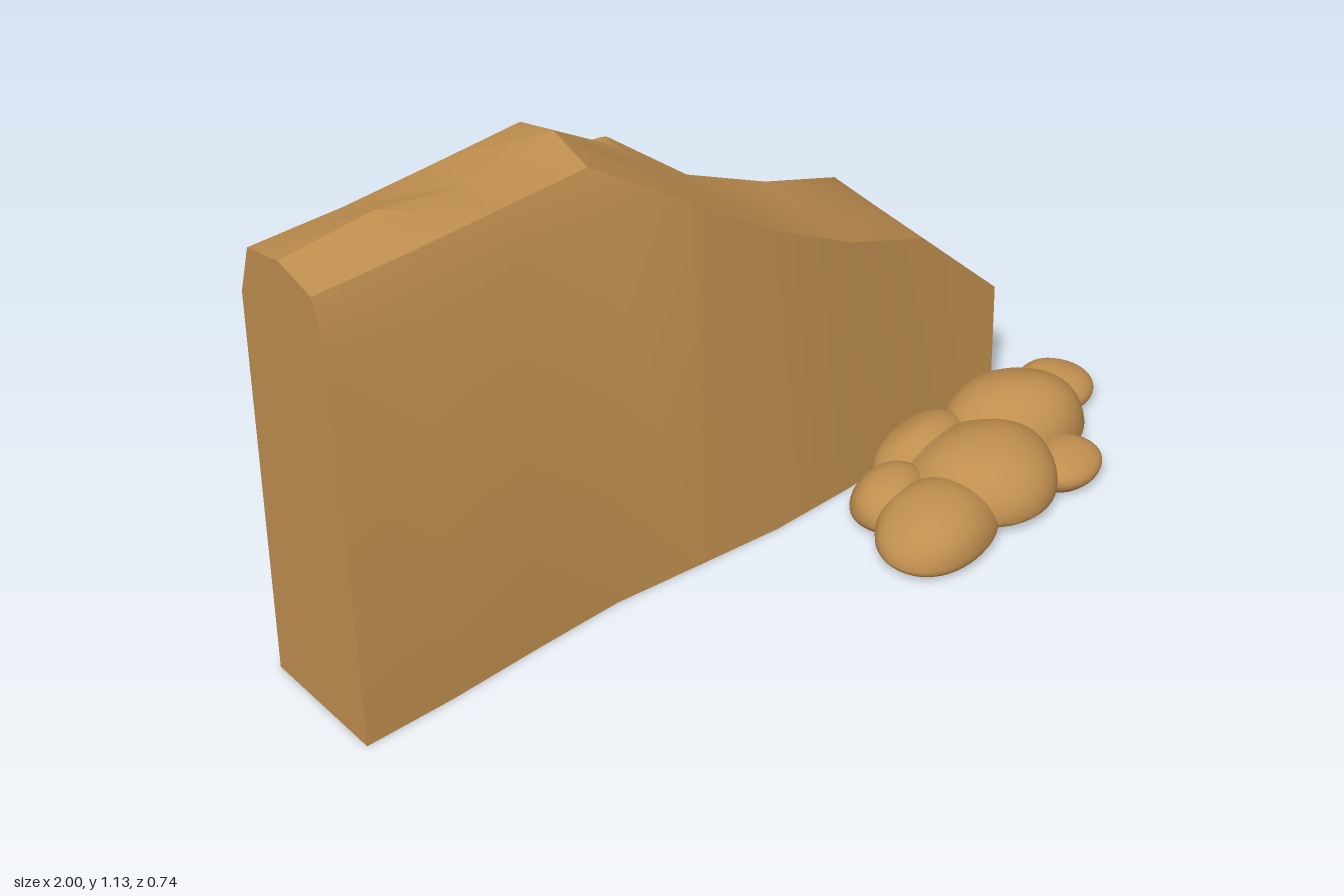
import * as THREE from 'three';
import { mergeVertices, toCreasedNormals } from 'three/addons/utils/BufferGeometryUtils.js';

const sandstone = new THREE.MeshStandardMaterial({ color: 0xc08f4f });

// One wall station per row: x, back z, front z, ridge y, back top y, front top y, chamfer (1 = bevelled top)
const stations = [
  [-1.0, -0.34, -0.02, 1.115, 1.09, 1.09, 1],
  [-0.78, -0.34, -0.024, 1.135, 1.09, 1.09, 1],
  [-0.55, -0.358, -0.038, 1.09, 1.088, 1.088, 1],
  [-0.33, -0.375, -0.048, 1.12, 1.088, 1.088, 1],
  [-0.115, -0.357, -0.033, 0.958, 0.956, 0.945, 1],
  [-0.1, -0.355, -0.032, 0.945, 0.953, 0.932, 0],
  [0.1, -0.337, -0.019, 0.787, 0.785, 0.79, 0],
  [0.32, -0.335, -0.027, 0.67, 0.677, 0.664, 0],
  [0.55, -0.363, -0.052, 0.572, 0.58, 0.565, 0],
  [0.78, -0.372, -0.052, 0.335, 0.335, 0.335, 0],
];

// Cross-section from the back foot, over the top, to the front foot
function section([x, back, front, ridge, topB, topF, chamfer]) {
  const lean = (y) => 0.014 * y; // faces lean inwards slightly
  const shoulderB = Math.min(0.97, topB);
  const shoulderF = Math.min(0.97, topF);
  const b = back + lean(shoulderB), f = front - lean(shoulderF);
  const bevel = chamfer * 0.038;
  return [
    [x, 0.003, back], [x, shoulderB, b], [x, topB, b + bevel],
    [x, ridge, (b + f) / 2], [x, topF, f - bevel],
    [x, shoulderF, f], [x, 0.003, front],
  ].map((p) => new THREE.Vector3(...p));
}

function wallGeometry() {
  const rings = stations.map(section);
  const n = rings[0].length;
  const pos = [];
  const tri = (a, b, c) => {
    const area = new THREE.Vector3().subVectors(b, a).cross(new THREE.Vector3().subVectors(c, a));
    if (area.length() > 1e-8) for (const p of [a, b, c]) pos.push(p.x, p.y, p.z);
  };
  for (let i = 0; i < rings.length - 1; i++) {
    for (let j = 0; j < n; j++) {
      const k = (j + 1) % n;
      const a = rings[i][j], b = rings[i][k], c = rings[i + 1][k], d = rings[i + 1][j];
      tri(a, b, c);
      tri(a, c, d);
    }
  }
  // end caps
  const first = rings[0], last = rings[rings.length - 1];
  for (let j = 1; j < n - 1; j++) {
    tri(first[0], first[j + 1], first[j]);
    tri(last[0], last[j], last[j + 1]);
  }
  const g = new THREE.BufferGeometry();
  g.setAttribute('position', new THREE.Float32BufferAttribute(pos, 3));
  return toCreasedNormals(g, 0.42);
}

// Rounded, slightly lumpy stone with a flat underside
function boulderGeometry(rx, rz, height, seed) {
  const floor = 0.01, centre = 0.04;
  let g = new THREE.IcosahedronGeometry(1, 7);
  g.deleteAttribute('uv');
  g.deleteAttribute('normal');
  g = mergeVertices(g, 1e-4);
  const p = g.attributes.position, v = new THREE.Vector3();
  for (let i = 0; i < p.count; i++) {
    v.fromBufferAttribute(p, i);
    const lump = 1 + 0.045 * Math.sin(3 * v.x + seed) * Math.cos(2.6 * v.z + seed * 1.7)
      + 0.025 * Math.sin(4 * v.y + 3 * v.z + seed * 2.3);
    const y = centre + v.y * lump * (v.y > 0 ? height - centre : 0.05);
    p.setXYZ(i, v.x * lump * rx, Math.max(floor, y), v.z * lump * rz);
  }
  g.computeVertexNormals();
  return g;
}

// x, z, half width, half depth, height
const boulders = [
  [0.33, 0.245, 0.15, 0.125, 0.14],
  [0.325, 0.11, 0.1, 0.095, 0.125],
  [0.535, 0.175, 0.18, 0.165, 0.165],
  [0.725, 0.08, 0.18, 0.14, 0.177],
  [0.905, 0.025, 0.092, 0.09, 0.09],
  [0.72, 0.25, 0.092, 0.083, 0.09],
  [0.5, 0.03, 0.14, 0.09, 0.14],
];

export function createModel() {
  const model = new THREE.Group();
  model.name = 'ruinedWall';

  const wall = new THREE.Mesh(wallGeometry(), sandstone);
  wall.name = 'brokenWall';
  model.add(wall);

  const rubble = new THREE.Group();
  rubble.name = 'rubblePile';
  boulders.forEach(([x, z, rx, rz, h], i) => {
    const stone = new THREE.Mesh(boulderGeometry(rx, rz, h, i * 1.9 + 0.6), sandstone);
    stone.name = `boulder${i + 1}`;
    stone.position.set(x, 0, z);
    rubble.add(stone);
  });
  model.add(rubble);
  return model;
}
